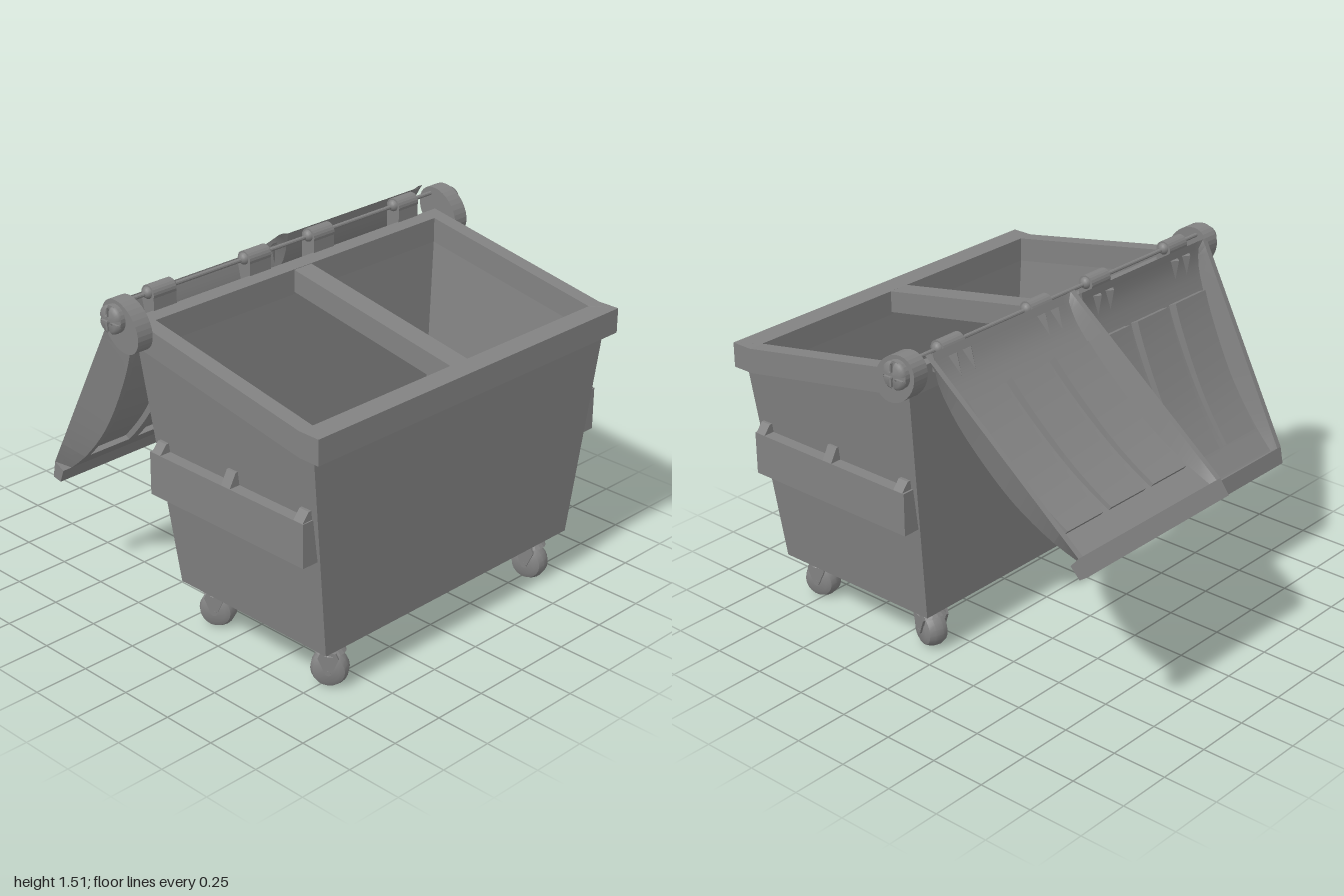
import * as THREE from 'three';
import { toCreasedNormals } from 'three/addons/utils/BufferGeometryUtils.js';

const flat = new THREE.MeshStandardMaterial({ color: 0x828282, flatShading: true });
const smooth = new THREE.MeshStandardMaterial({ color: 0x828282, side: THREE.DoubleSide });

function add(parent, name, geometry, x = 0, y = 0, z = 0, material = flat) {
  const mesh = new THREE.Mesh(geometry, material);
  mesh.name = name;
  mesh.position.set(x, y, z);
  parent.add(mesh);
  return mesh;
}

// Surface through a grid of points; closed joins the last column to the first
function skin(rows, closed) {
  const n = rows[0].length, index = [];
  for (let i = 0; i < rows.length - 1; i++) {
    for (let j = 0; j < (closed ? n : n - 1); j++) {
      const k = (j + 1) % n;
      const a = i * n + j, b = i * n + k, c = (i + 1) * n + k, d = (i + 1) * n + j;
      index.push(a, b, c, a, c, d);
    }
  }
  const g = new THREE.BufferGeometry();
  g.setAttribute('position', new THREE.Float32BufferAttribute(rows.flat(2), 3));
  g.setIndex(index);
  g.computeVertexNormals();
  return g;
}

// Side outline in (z, y), extruded along x and centred on x = 0
function sidePlate(points, width) {
  const shape = new THREE.Shape(points.map(([z, y]) => new THREE.Vector2(-z, y)));
  return new THREE.ExtrudeGeometry(shape, { depth: width, bevelEnabled: false })
    .translate(0, 0, -width / 2).rotateY(Math.PI / 2);
}

const axle = (r, length, sides = 20) =>
  new THREE.CylinderGeometry(r, r, length, sides).rotateZ(Math.PI / 2);
const lathe = (points, sides, from = 0, sweep = Math.PI * 2) => new THREE.LatheGeometry(
  points.map(([r, h]) => new THREE.Vector2(r, h)), sides, from, sweep);

// Sloping rim height
const rimTop = z => 1.24 + Math.max(0, 0.86 - z) * 0.183;
const rimBottom = z => rimTop(z) - 0.11;

// Tapered tub, thick rim and hollow inside in one skin
function tub() {
  const ring = (hx, zs, y, hxBack = hx) => {
    const [f, m, b] = zs;
    return [[hx, f], [hx, m], [hxBack, b], [-hxBack, b], [-hx, m], [-hx, f]]
      .map(([x, z]) => [x, typeof y === 'number' ? y : y(z), z]);
  };
  const low = [0.86, 0.82, 0.02], rim = [0.96, 0.86, -0.07];
  const open = [0.86, 0.855, -0.01], floor = [0.82, 0.8, 0.04];
  return skin([
    ring(0, low, 0.21), ring(0.735, low, 0.21),
    ring(0.853, [0.91, 0.86, -0.05], rimBottom, 0.872),
    ring(0.88, rim, rimBottom), ring(0.88, rim, rimTop),
    ring(0.81, open, rimTop), ring(0.81, open, rimBottom),
    ring(0.71, floor, 0.24), ring(0, floor, 0.24),
  ], true);
}

// Lid bulge: s runs away from the hinge, h is the depth of the outer skin
const bulge = new THREE.SplineCurve([
  [0, 0.01], [0.1, 0.085], [0.237, 0.125], [0.378, 0.14], [0.548, 0.141],
  [0.692, 0.125], [0.852, 0.083], [0.977, 0.03],
].map(p => new THREE.Vector2(...p)));

function outerDepth(s) {
  let lo = 0, hi = 1;
  for (let i = 0; i < 24; i++) {
    const mid = (lo + hi) / 2;
    if (bulge.getPoint(mid).x < s) lo = mid; else hi = mid;
  }
  return bulge.getPoint(lo).y;
}
const innerDepth = s => 0.65 * outerDepth(s) - 0.025 * s;
const edgeDepth = s => -0.03 * s;

function lid(x, y, z, angle) {
  const g = new THREE.Group();
  g.name = 'lid';
  // Stops along the lid and across it, doubled at the panel edges
  const along = [0, 0.03, 0.06, 0.1, 0.15, 0.209].map(s => [s, 0]);
  for (let i = 0; i <= 12; i++) along.push([0.21 + (0.65 * i) / 12, 1]);
  along.push([0.861, 0], [0.92, 0], [0.977, 0]);
  const sheet = [[-0.395, 0]];
  for (const c of [-0.26, 0, 0.26]) {
    sheet.push([c - 0.107, 0], [c - 0.105, 1], [c + 0.105, 1], [c + 0.107, 0]);
  }
  sheet.push([0.395, 0]);
  const framed = [[-0.44, -1], [-0.415, -1], ...sheet, [0.415, -1], [0.44, -1]];
  const shell = (across, depth, step) => toCreasedNormals(skin(along.map(([s, inPanel]) =>
    across.map(([px, kind]) => {
      const h = kind < 0 ? edgeDepth(s) : depth(s) - (kind && inPanel ? step(s) : 0);
      return [px, -h, -s];
    })), false), 0.4);
  add(g, 'lidInnerSkin', shell(framed, innerDepth, s => 0.045 - 0.03 * s), 0, 0, 0, smooth);
  add(g, 'lidOuterSkin', shell(sheet, outerDepth, () => 0.025), 0, 0, 0, smooth);

  for (const side of [-1, 1]) {
    // Side skirt from the straight edge down to the bulge
    const skirt = along.map(([s]) =>
      [[side * 0.44, -edgeDepth(s), -s], [side * 0.395, -outerDepth(s), -s]]);
    add(g, 'lidSkirt', skin(skirt, false), 0, 0, 0, smooth);
    // Pair of small wedges beside each hinge knuckle
    for (const offset of [-0.04, 0.04]) {
      const wedge = add(g, 'hingeWedge', new THREE.ConeGeometry(0.025, 0.09, 4),
        side * 0.26 + offset, -0.035, -0.075);
      wedge.rotation.x = -Math.PI / 2 - 0.35;
    }
  }
  // Lip at the free edge
  add(g, 'lidLip', sidePlate([[-0.977, 0.029], [-0.977, -0.03],
    [-1.04, -0.035], [-1.052, 0.01]], 0.88));
  g.position.set(x, y, z);
  g.rotation.x = angle;
  return g;
}

function caster(x, z, turn) {
  const g = new THREE.Group();
  g.name = 'caster';
  const tyre = lathe([[0, -0.052], [0.045, -0.052], [0.066, -0.042], [0.078, -0.018],
    [0.078, 0.018], [0.066, 0.042], [0.045, 0.052], [0, 0.052]], 20).rotateZ(Math.PI / 2);
  add(g, 'wheel', toCreasedNormals(tyre, 0.5), 0, 0.078, 0, smooth);
  for (const side of [-1, 1]) {
    add(g, 'forkArm', sidePlate([[-0.03, 0.172], [-0.042, 0.145], [-0.01, 0.07],
      [0.01, 0.07], [0.042, 0.145], [0.03, 0.172]], 0.012), side * 0.056);
  }
  add(g, 'forkCrown', new THREE.CylinderGeometry(0.042, 0.066, 0.024, 16), 0, 0.17);
  add(g, 'stem', new THREE.BoxGeometry(0.07, 0.045, 0.07), 0, 0.197);
  add(g, 'wheelAxle', axle(0.012, 0.126, 10), 0, 0.08);
  g.position.set(x, 0, z);
  g.rotation.y = turn;
  return g;
}

export function createModel() {
  const model = new THREE.Group();
  model.name = 'wheeledWasteContainer';

  add(model, 'tub', tub());
  const [f, b] = [0.87, -0.02];
  add(model, 'centreBar', sidePlate([[f, rimTop(f) - 0.1], [f, rimTop(f) - 0.002],
    [b, rimTop(b) - 0.002], [b, rimTop(b) - 0.1]], 0.1));

  for (const side of [-1, 1]) {
    // Lifting pocket with three gussets on top
    add(model, 'liftPocket', new THREE.BoxGeometry(0.08, 0.19, 0.87), side * 0.83, 0.755, 0.435);
    for (const [z, h] of [[0.84, 0.04], [0.44, 0.06], [0.035, 0.04]]) {
      const shape = new THREE.Shape([[0.8, 0], [0.868, 0], [0.835, h], [0.8, h]]
        .map(([x, y]) => new THREE.Vector2(side * x, y)));
      add(model, 'pocketGusset', new THREE.ExtrudeGeometry(shape,
        { depth: 0.05, bevelEnabled: false }), 0, 0.85, z - 0.025);
    }

    // Oval hinge bracket and slotted bolt head
    const oval = new THREE.EllipseCurve(0.055, 1.4, 0.12, 0.09, 0, Math.PI * 2, false, Math.PI / 4);
    add(model, 'hingeBracket', sidePlate(oval.getPoints(32).slice(0, 32)
      .map(p => [-p.x, p.y]), 0.075), side * 0.917);
    const bolt = new THREE.Group();
    bolt.name = 'hingeBolt';
    add(bolt, 'boltBase', new THREE.CylinderGeometry(0.06, 0.06, 0.026, 24), 0, 0.013);
    for (let i = 0; i < 4; i++) {
      const a = (i + 0.5) * Math.PI / 2;
      const quarter = lathe([[0.048, 0.02], [0.046, 0.032], [0.033, 0.043], [0, 0.047]],
        6, i * Math.PI / 2, Math.PI / 2);
      add(bolt, 'boltQuarter', quarter, Math.sin(a) * 0.014, 0, Math.cos(a) * 0.014, smooth);
      // Slot walls
      for (const t of [i, i + 1]) {
        const wall = new THREE.BoxGeometry(0.001, 0.018, 0.038).translate(0, 0.028, 0.021)
          .rotateY(t * Math.PI / 2);
        add(bolt, 'slotWall', wall, Math.sin(a) * 0.014, 0, Math.cos(a) * 0.014);
      }
    }
    bolt.position.set(side * 0.953, 1.43, -0.08);
    bolt.rotation.z = -side * Math.PI / 2;
    model.add(bolt);
  }

  // Hinge rod and knuckles with rounded bushes
  add(model, 'hingeRod', axle(0.009, 1.78, 10), 0, 1.475, -0.1);
  for (const x of [-0.71, -0.19, 0.18, 0.7]) {
    add(model, 'knuckle', axle(0.037, 0.12), x, 1.473, -0.1);
    add(model, 'knuckleBush', new THREE.CapsuleGeometry(0.027, 0.11, 4, 14).rotateZ(Math.PI / 2),
      x, 1.478, -0.1, smooth);
    add(model, 'knuckleTab', new THREE.BoxGeometry(0.12, 0.1, 0.07), x, 1.42, -0.1);
  }

  // Two lids thrown open to different angles
  model.add(lid(0.44, 1.5, -0.15, -0.697), lid(-0.45, 1.47, -0.15, -1.128));

  // Swivelling casters
  model.add(caster(-0.62, 0.77, 0.65), caster(0.615, 0.77, 0.25),
    caster(-0.62, 0.115, 0.5), caster(0.615, 0.115, -0.3));
  return model;
}
